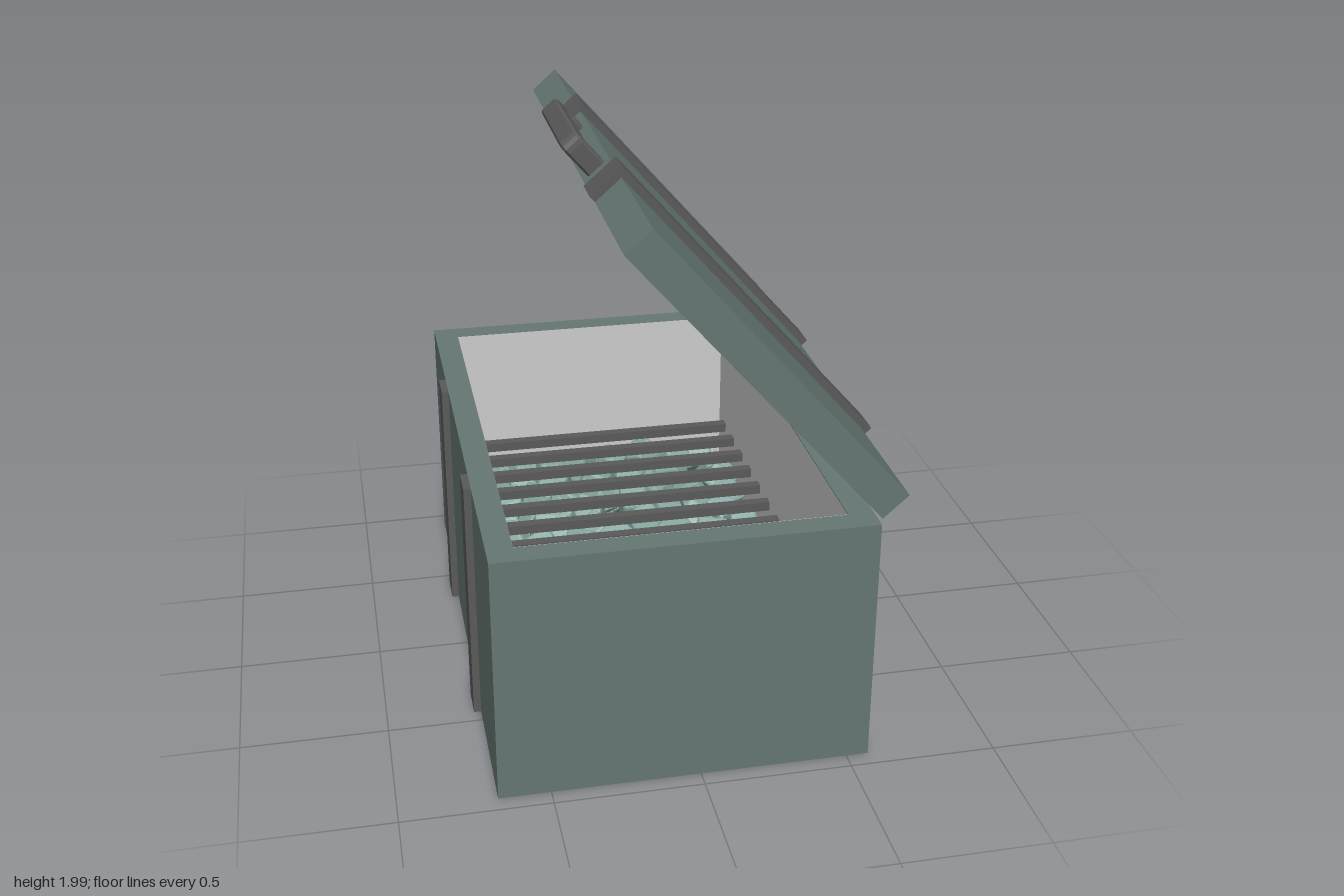
import * as THREE from 'three';
import { RoundedBoxGeometry } from 'three/addons/geometries/RoundedBoxGeometry.js';

const mat = (color, extra = {}) => new THREE.MeshStandardMaterial({ color, ...extra });
const SHELL = mat(0x667773);
const TRIM = mat(0x5a5a5a, { flatShading: true });
const LINER = mat(0xcccccc, { side: THREE.DoubleSide });
const ICE = mat(0x8aaaa4, { flatShading: true });

const W = 1.25, H = 0.875, D = 1.885, WALL = 0.085;   // chest size
const LID_T = 0.113, STRAP_T = 0.025, STRAP_W = 0.113, STRAP_Z = 0.392;
const CX = -0.05;                                     // chest centre in x

function add(parent, name, geometry, material, x = 0, y = 0, z = 0) {
  const mesh = new THREE.Mesh(geometry, material);
  mesh.name = name;
  mesh.position.set(x, y, z);
  parent.add(mesh);
  return mesh;
}

function rect(path, w, h) {
  path.moveTo(-w / 2, -h / 2);
  path.lineTo(w / 2, -h / 2);
  path.lineTo(w / 2, h / 2);
  path.lineTo(-w / 2, h / 2);
  path.closePath();
  return path;
}

// Open-topped box: solid floor, ring of walls and a pale lining inside
function tray(name, h, floor) {
  const g = new THREE.Group();
  g.name = name;
  const ring = rect(new THREE.Shape(), W, D);
  ring.holes.push(rect(new THREE.Path(), W - 2 * WALL, D - 2 * WALL));
  const walls = new THREE.ExtrudeGeometry(ring, { depth: h - floor, bevelEnabled: false });
  walls.rotateX(-Math.PI / 2);
  add(g, name + 'Walls', walls, SHELL, 0, floor, 0);
  add(g, name + 'Floor', new THREE.BoxGeometry(W, floor, D), SHELL, 0, floor / 2, 0);

  const ih = h - floor - 0.002;
  const lining = new THREE.BoxGeometry(W - 2 * WALL - 0.004, ih, D - 2 * WALL - 0.004);
  const index = Array.from(lining.index.array);
  index.splice(12, 6); // drop the top face
  lining.setIndex(index);
  lining.clearGroups();
  add(g, name + 'Lining', lining, LINER, 0, floor + 0.002 + ih / 2, 0);
  return g;
}

// Strap that wraps over the lid and down both of its ends
function lidStrapGeometry() {
  const t = STRAP_T;
  const s = new THREE.Shape([
    [t, 0], [t, LID_T + t], [-W - t, LID_T + t], [-W - t, 0],
    [-W, 0], [-W, LID_T], [0, LID_T], [0, 0],
  ].map(([x, y]) => new THREE.Vector2(x, y)));
  return new THREE.ExtrudeGeometry(s, { depth: STRAP_W, bevelEnabled: false }).translate(0, 0, -STRAP_W / 2);
}

// U-shaped carrying handle, pointing out along -x
function handleGeometry() {
  const b = 0.008, o = 0.232 - b, i = 0.18 + b, top = 0.137 - b, inner = 0.077 + b, r = 0.03;
  const s = new THREE.Shape();
  s.moveTo(-o, 0);
  s.lineTo(-o, top - r);
  s.quadraticCurveTo(-o, top, -o + r, top);
  s.lineTo(o - r, top);
  s.quadraticCurveTo(o, top, o, top - r);
  s.lineTo(o, 0);
  s.lineTo(i, 0);
  s.lineTo(i, inner);
  s.lineTo(-i, inner);
  s.lineTo(-i, 0);
  s.closePath();
  const depth = 0.07 - 2 * b;
  const g = new THREE.ExtrudeGeometry(s, {
    depth, bevelThickness: b, bevelSize: b, bevelSegments: 1, curveSegments: 4,
  });
  g.translate(0, 0, -depth / 2);
  g.applyMatrix4(new THREE.Matrix4().makeBasis(
    new THREE.Vector3(0, 0, 1), new THREE.Vector3(-1, 0, 0), new THREE.Vector3(0, -1, 0)));
  return g;
}

export function createModel() {
  const model = new THREE.Group();
  model.name = 'coolerChest';

  // Chest body
  const body = tray('body', H, WALL);
  body.position.x = CX;
  model.add(body);

  // Straps on both long sides, with a hinge barrel over each rear strap
  for (const z of [-STRAP_Z, STRAP_Z]) {
    for (const s of [-1, 1]) {
      add(model, 'bodyStrap', new THREE.BoxGeometry(STRAP_T, H, STRAP_W), TRIM,
        CX + s * (W + STRAP_T) / 2, H / 2, z);
    }
    const hinge = new THREE.CylinderGeometry(0.02, 0.02, 0.245, 12).rotateX(Math.PI / 2);
    add(model, 'hinge', hinge, TRIM, 0.592, 0.88, z);
  }

  // Rack of bars across the inside
  for (let i = 0; i < 12; i++) {
    add(model, 'rackBar', new THREE.BoxGeometry(W - 2 * WALL, 0.035, 0.038), TRIM,
      CX, 0.425, (i - 5.5) * 0.1392);
  }

  // Loose ice blocks under the rack
  const ice = new THREE.Group();
  ice.name = 'ice';
  model.add(ice);
  let seed = 7;
  const rnd = () => (seed = (seed * 16807) % 2147483647) / 2147483647;
  const jitter = (a) => (rnd() - 0.5) * a;
  const block = new RoundedBoxGeometry(0.115, 0.1, 0.105, 1, 0.012);
  for (let layer = 0; layer < 2; layer++) {
    for (let i = 0; i < 8; i++) {
      for (let j = 0; j < 13; j++) {
        const m = add(ice, 'iceBlock', block, ICE,
          CX + (i - 3.5) * 0.122 + jitter(0.06),
          0.175 + layer * 0.13 + jitter(0.03),
          (j - 6) * 0.122 + jitter(0.07));
        m.rotation.set(jitter(2.5), jitter(6), jitter(2.5));
      }
    }
  }

  // Open lid, built closed about its hinge edge and then swung up
  const lid = new THREE.Group();
  lid.name = 'lid';
  lid.position.set(0.575, 0.897, 0);
  lid.rotation.z = -0.85;
  model.add(lid);
  const panel = tray('lidPanel', LID_T, 0.05);
  panel.rotation.x = Math.PI;
  panel.position.set(-W / 2, LID_T, 0);
  lid.add(panel);
  for (const z of [-STRAP_Z, STRAP_Z]) add(lid, 'lidStrap', lidStrapGeometry(), TRIM, 0, 0, z);
  add(lid, 'handle', handleGeometry(), TRIM, -W, LID_T / 2, 0);

  return model;
}
